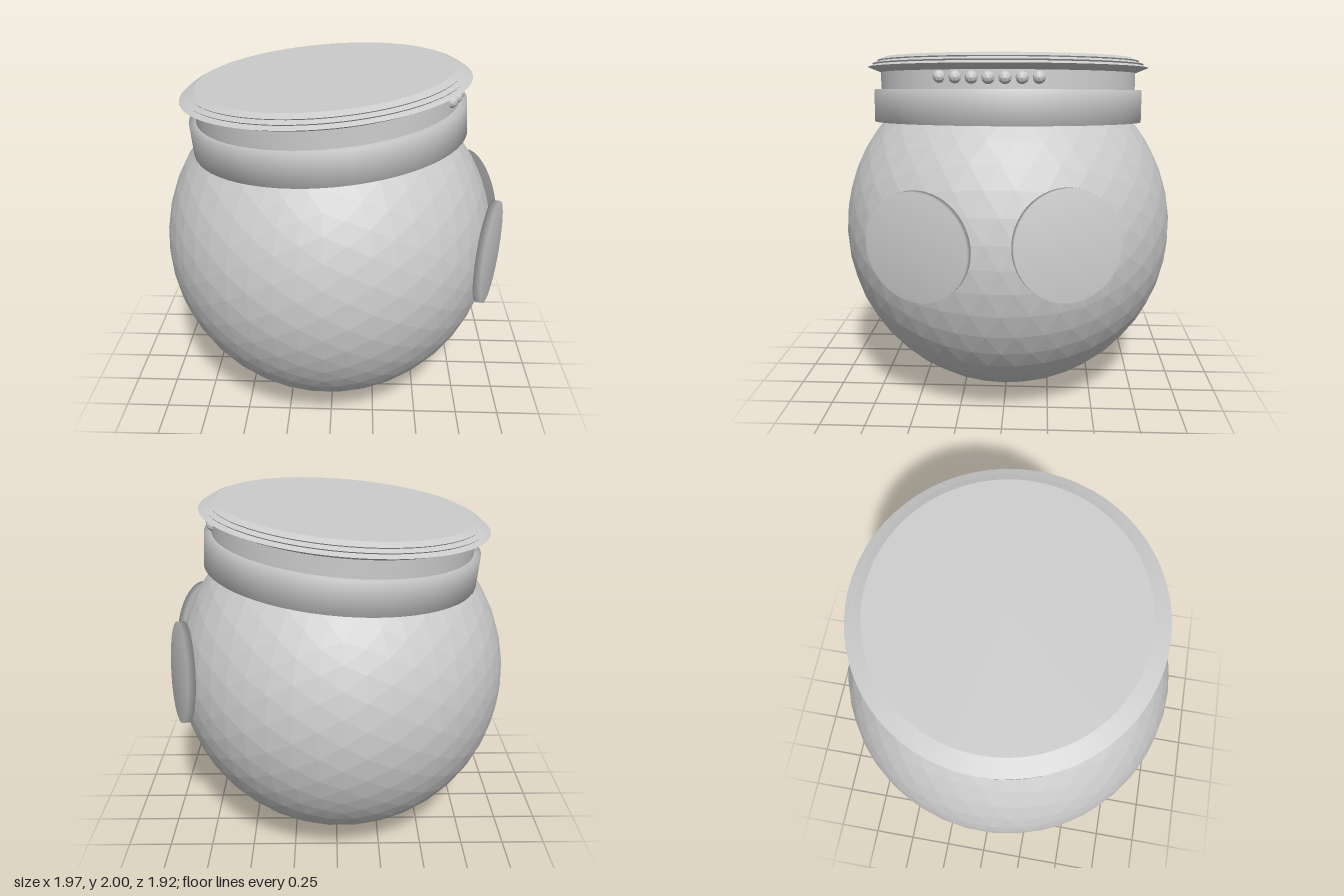
import * as THREE from 'three';
import { toCreasedNormals } from 'three/addons/utils/BufferGeometryUtils.js';

const material = new THREE.MeshStandardMaterial({ color: 0xcccccc });
const facetedMaterial = new THREE.MeshStandardMaterial({ color: 0xcccccc, flatShading: true });

function addMesh(parent, name, geometry, mat = material) {
  const mesh = new THREE.Mesh(geometry, mat);
  mesh.name = name;
  parent.add(mesh);
  return mesh;
}

// Turned part from [radius, height] pairs listed bottom to top
const turned = (points, segments = 64) =>
  new THREE.LatheGeometry(points.map(([r, y]) => new THREE.Vector2(r, y)), segments);

export function createModel() {
  const model = new THREE.Group();
  model.name = 'jarHead';

  // Faceted round body
  addMesh(model, 'body', new THREE.IcosahedronGeometry(0.96, 7), facetedMaterial)
    .position.set(-0.025, 0.96, 0);

  // Tilted cap: collar band, neck and stepped lid share one axis
  const cap = new THREE.Group();
  cap.name = 'cap';
  cap.position.set(-0.025, 1.58, 0);
  cap.rotation.z = THREE.MathUtils.degToRad(4.7);
  model.add(cap);

  addMesh(cap, 'collarBand', turned([[0.68, 0], [0.775, 0], [0.775, 0.18], [0.72, 0.18]]));
  addMesh(cap, 'neck', turned([[0.735, 0.1], [0.735, 0.29]]));
  addMesh(cap, 'lid', toCreasedNormals(turned([
    [0.72, 0.272], [0.735, 0.276], [0.808, 0.305],
    [0.775, 0.318], [0.782, 0.325],
    [0.75, 0.337], [0.755, 0.343],
    [0.715, 0.36], [0, 0.36],
  ]), 0.4));

  // Row of small beads under the lid
  const beads = new THREE.Group();
  beads.name = 'beads';
  model.add(beads);
  for (let i = 0; i < 7; i++) {
    const z = 0.315 - i * 0.0833;
    addMesh(beads, 'bead', new THREE.IcosahedronGeometry(0.034, 1), facetedMaterial)
      .position.set(-0.05 + Math.sqrt(0.735 ** 2 - z * z), 1.875, z);
  }

  // Disc eyes, softly shaded over the rim; yaw turns the face around y, lift tips it upward
  const disc = turned([[0, -0.02], [0.285, -0.02], [0.285, 0.02], [0, 0.02]], 48);
  disc.rotateZ(-Math.PI / 2);
  const eyes = [
    { name: 'frontEye', at: [0.865, 1.055, 0.41], yaw: -20, lift: 0 },
    { name: 'backEye', at: [0.866, 1.075, -0.335], yaw: 20, lift: 6 },
  ];
  for (const { name, at, yaw, lift } of eyes) {
    const eye = addMesh(model, name, disc);
    eye.position.set(...at);
    eye.rotation.set(0, THREE.MathUtils.degToRad(yaw), THREE.MathUtils.degToRad(lift), 'YXZ');
  }

  return model;
}
